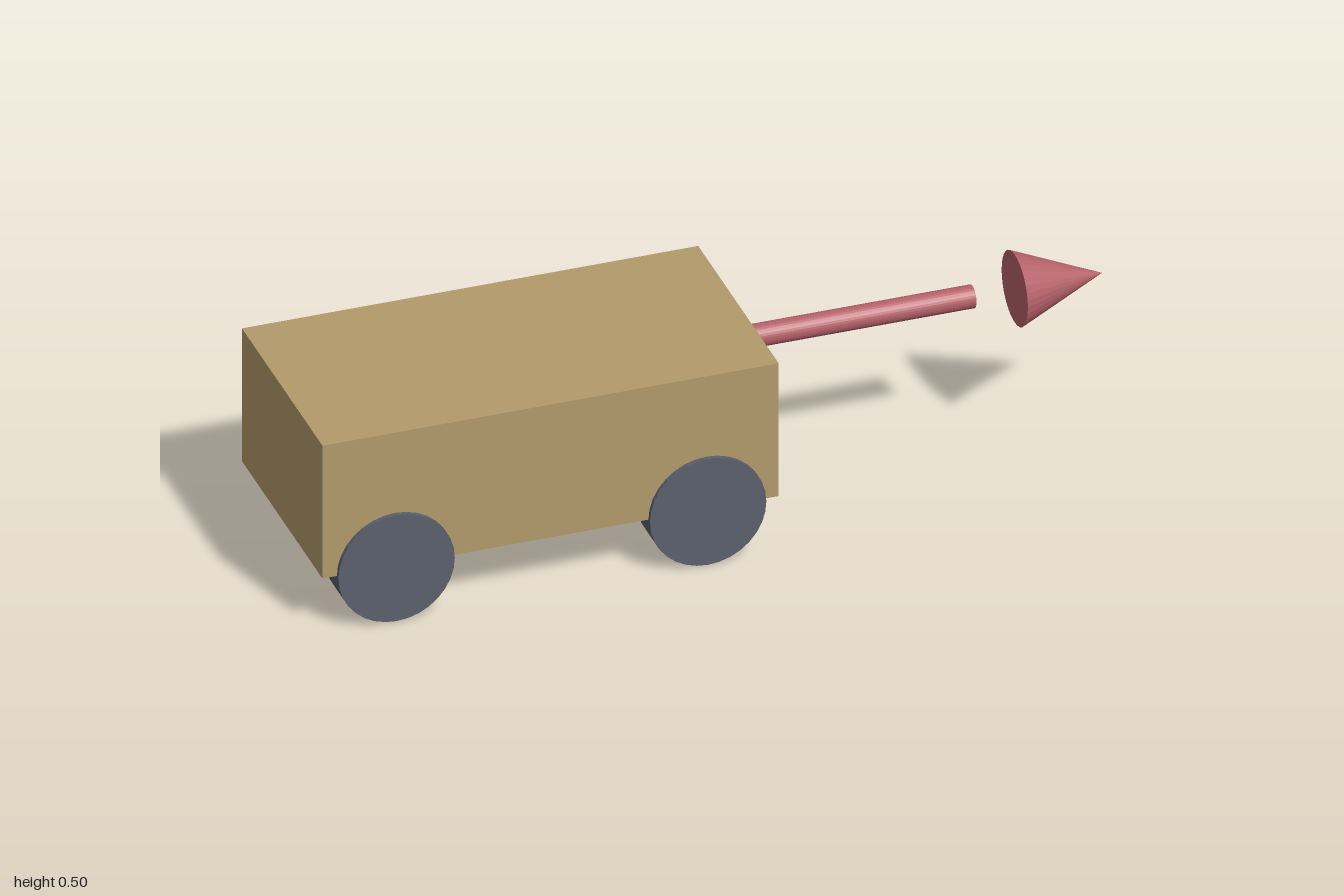
import * as THREE from 'three';

const paint = (color) => new THREE.MeshStandardMaterial({ color, flatShading: true });

export function createModel() {
  const cart = new THREE.Group();
  cart.name = 'cart';
  const tan = paint(0xb39b6b);
  const slate = paint(0x5a616d);
  const red = paint(0xb5626a);

  const add = (name, geometry, material, x, y, z) => {
    const mesh = new THREE.Mesh(geometry, material);
    mesh.name = name;
    mesh.position.set(x, y, z);
    cart.add(mesh);
    return mesh;
  };

  // Box body
  add('body', new THREE.BoxGeometry(1.113, 0.356, 0.558), tan, -0.4435, 0.321, 0);

  // Four wheels, standing slightly proud of the body sides
  const wheel = new THREE.CylinderGeometry(0.142, 0.142, 0.091, 32).rotateX(Math.PI / 2);
  for (const [end, x] of [['rear', -0.823], ['front', -0.063]]) {
    for (const [side, z] of [['Right', 0.2445], ['Left', -0.2445]]) {
      add(`${end}Wheel${side}`, wheel, slate, x, 0.142, z);
    }
  }

  // Arrow shaft, starting at the body's end face
  const shaft = new THREE.CylinderGeometry(0.028, 0.028, 0.574, 32).rotateZ(-Math.PI / 2);
  add('arrowShaft', shaft, red, 0.397, 0.408, 0);

  // Arrow head, separated from the shaft by a gap
  const head = new THREE.ConeGeometry(0.091, 0.213, 32).rotateZ(-Math.PI / 2);
  add('arrowHead', head, red, 0.8935, 0.408, 0);

  return cart;
}
